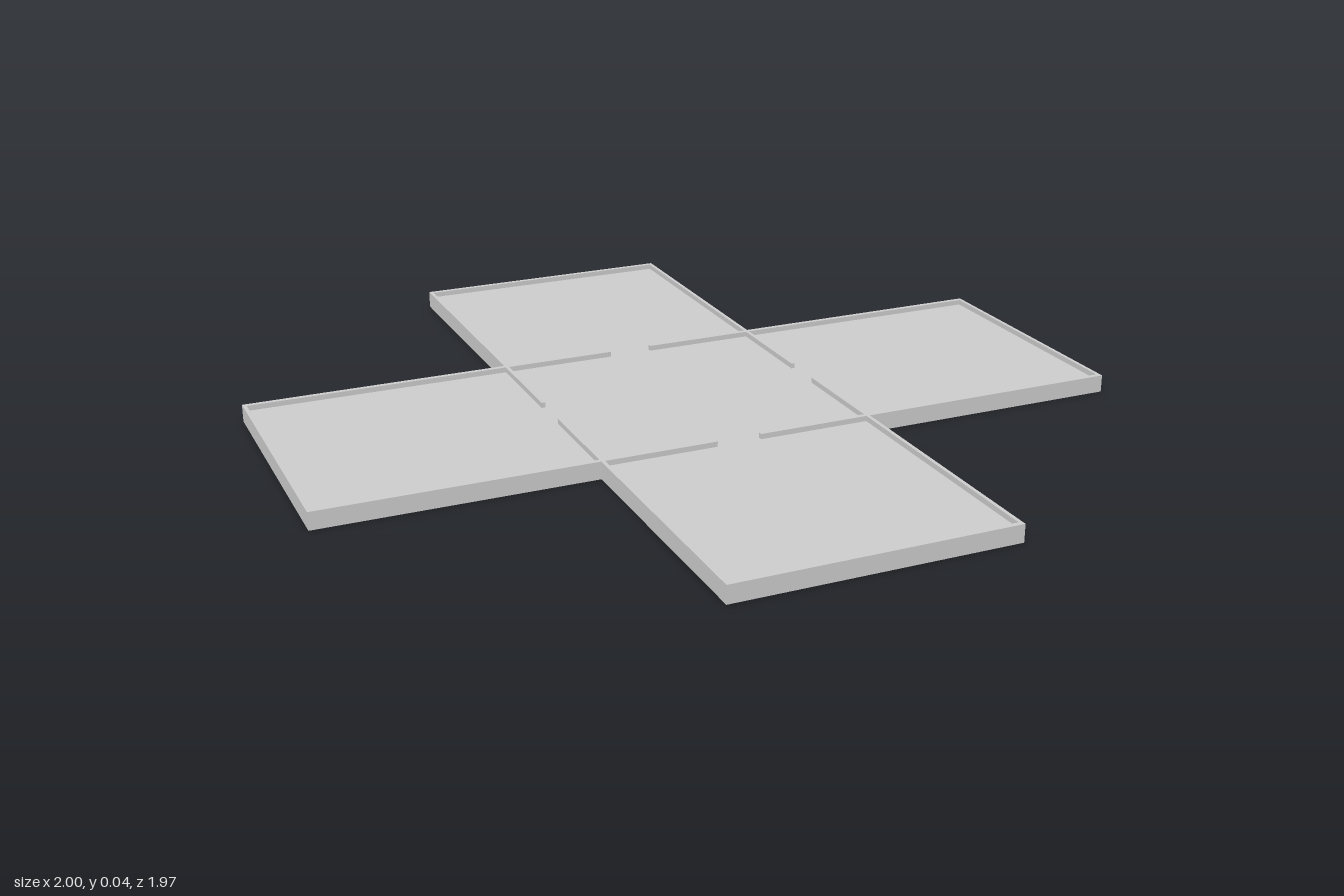
import * as THREE from 'three';

const ARM_X = 1, ARM_Z = 0.987;        // reach of the arms
const HALF_X = 0.34, HALF_Z = 0.333;   // half widths of the central room
const FLOOR = 0.03, TOP = 0.043;       // floor surface and wall top
const TX = 0.009, TZ = 0.012;          // wall thicknesses
const DOOR = 0.055;                    // half width of each doorway

export function createModel() {
  const group = new THREE.Group();
  const material = new THREE.MeshStandardMaterial({ color: 0xcccccc, flatShading: true });

  const add = (name, geometry) => {
    const mesh = new THREE.Mesh(geometry, material);
    mesh.name = name;
    group.add(mesh);
  };

  // Cross-shaped floor slab
  const outline = [
    [HALF_X, ARM_Z], [-HALF_X, ARM_Z], [-HALF_X, HALF_Z], [-ARM_X, HALF_Z],
    [-ARM_X, -HALF_Z], [-HALF_X, -HALF_Z], [-HALF_X, -ARM_Z], [HALF_X, -ARM_Z],
    [HALF_X, -HALF_Z], [ARM_X, -HALF_Z], [ARM_X, HALF_Z], [HALF_X, HALF_Z],
  ].map(([x, z]) => new THREE.Vector2(x, z));
  const slab = new THREE.ExtrudeGeometry(new THREE.Shape(outline), { depth: FLOOR, bevelEnabled: false });
  slab.rotateX(-Math.PI / 2);
  add('floor', slab);

  // Wall standing on the floor between two corners
  const wall = (name, x0, x1, z0, z1) => {
    const geometry = new THREE.BoxGeometry(Math.abs(x1 - x0), TOP - FLOOR, Math.abs(z1 - z0));
    geometry.translate((x0 + x1) / 2, (FLOOR + TOP) / 2, (z0 + z1) / 2);
    add(name, geometry);
  };

  for (const s of [-1, 1]) {
    // End walls of the four arms
    wall('sideEndWall', s * (ARM_X - TX), s * ARM_X, -HALF_Z, HALF_Z);
    wall('endWall', -HALF_X, HALF_X, s * (ARM_Z - TZ), s * ARM_Z);

    // Long walls run from each doorway to the end of an arm
    for (const t of [-1, 1]) {
      wall('crossWall', s * DOOR, s * (ARM_X - TX), t * (HALF_Z - TZ), t * HALF_Z);
      wall('lengthWall', s * (HALF_X - TX), s * HALF_X, t * DOOR, t * (HALF_Z - TZ));
      wall('armSideWall', s * (HALF_X - TX), s * HALF_X, t * HALF_Z, t * (ARM_Z - TZ));
    }
  }
  return group;
}
